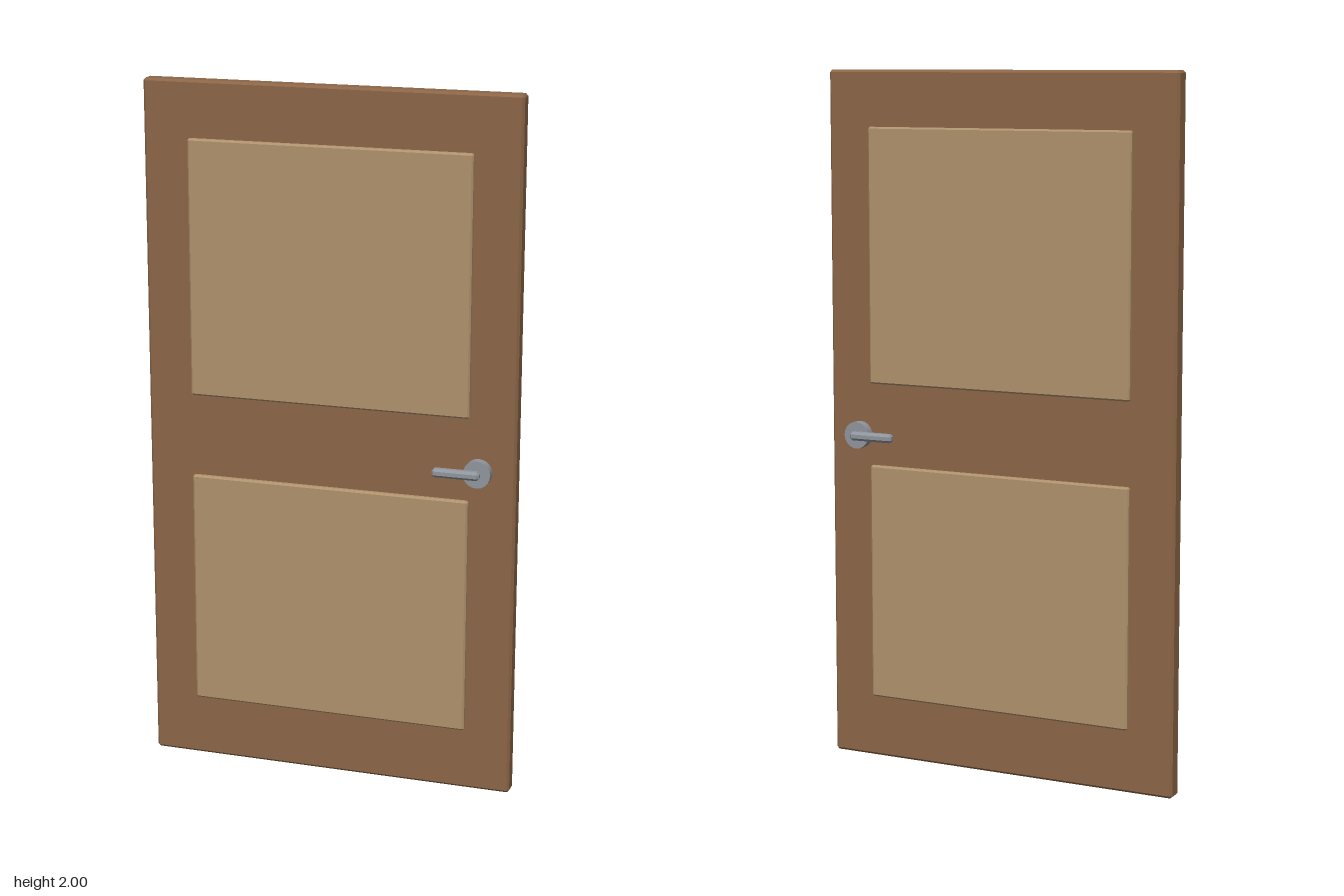
import * as THREE from 'three';
import { ConvexGeometry } from 'three/addons/geometries/ConvexGeometry.js';

const wood = new THREE.MeshStandardMaterial({ color: 0x8b6546 });
const paleWood = new THREE.MeshStandardMaterial({ color: 0xae916c });
const metal = new THREE.MeshStandardMaterial({ color: 0x8f959c });

// Box with every edge chamfered by c: each corner becomes three points
function chamferBox(w, h, d, c) {
  const points = [];
  for (const x of [-w / 2, w / 2])
    for (const y of [-h / 2, h / 2])
      for (const z of [-d / 2, d / 2]) {
        const inset = new THREE.Vector3(Math.sign(x), Math.sign(y), Math.sign(z)).multiplyScalar(c);
        for (const axis of ['x', 'y', 'z']) {
          const p = new THREE.Vector3(x, y, z).sub(inset);
          p[axis] += inset[axis];
          points.push(p);
        }
      }
  return new ConvexGeometry(points);
}

function addPart(parent, name, geometry, material, x, y, z) {
  const mesh = new THREE.Mesh(geometry, material);
  mesh.name = name;
  mesh.position.set(x, y, z);
  parent.add(mesh);
  return mesh;
}

export function createModel() {
  const door = new THREE.Group();
  door.name = 'door';

  // Door leaf
  addPart(door, 'doorLeaf', chamferBox(1.08, 2, 0.049, 0.007), wood, 0, 1, 0);

  // Raised panels, standing proud on both faces
  for (const [name, bottom, top] of [['lowerPanel', 0.182, 0.869], ['upperPanel', 1.107, 1.84]]) {
    const geometry = chamferBox(0.815, top - bottom, 0.077, 0.005);
    addPart(door, name, geometry, paleWood, 0, (bottom + top) / 2, 0);
  }

  // A lever handle on each face
  for (const [name, side] of [['frontHandle', 1], ['backHandle', -1]]) {
    const handle = new THREE.Group();
    handle.name = name;
    const rose = new THREE.CylinderGeometry(0.039, 0.039, 0.026, 20).rotateX(Math.PI / 2);
    addPart(handle, 'rose', rose, metal, 0.438, 0.958, side * 0.051);
    addPart(handle, 'lever', chamferBox(0.135, 0.025, 0.026, 0.007), metal, 0.382, 0.958, side * 0.073);
    door.add(handle);
  }

  return door;
}
